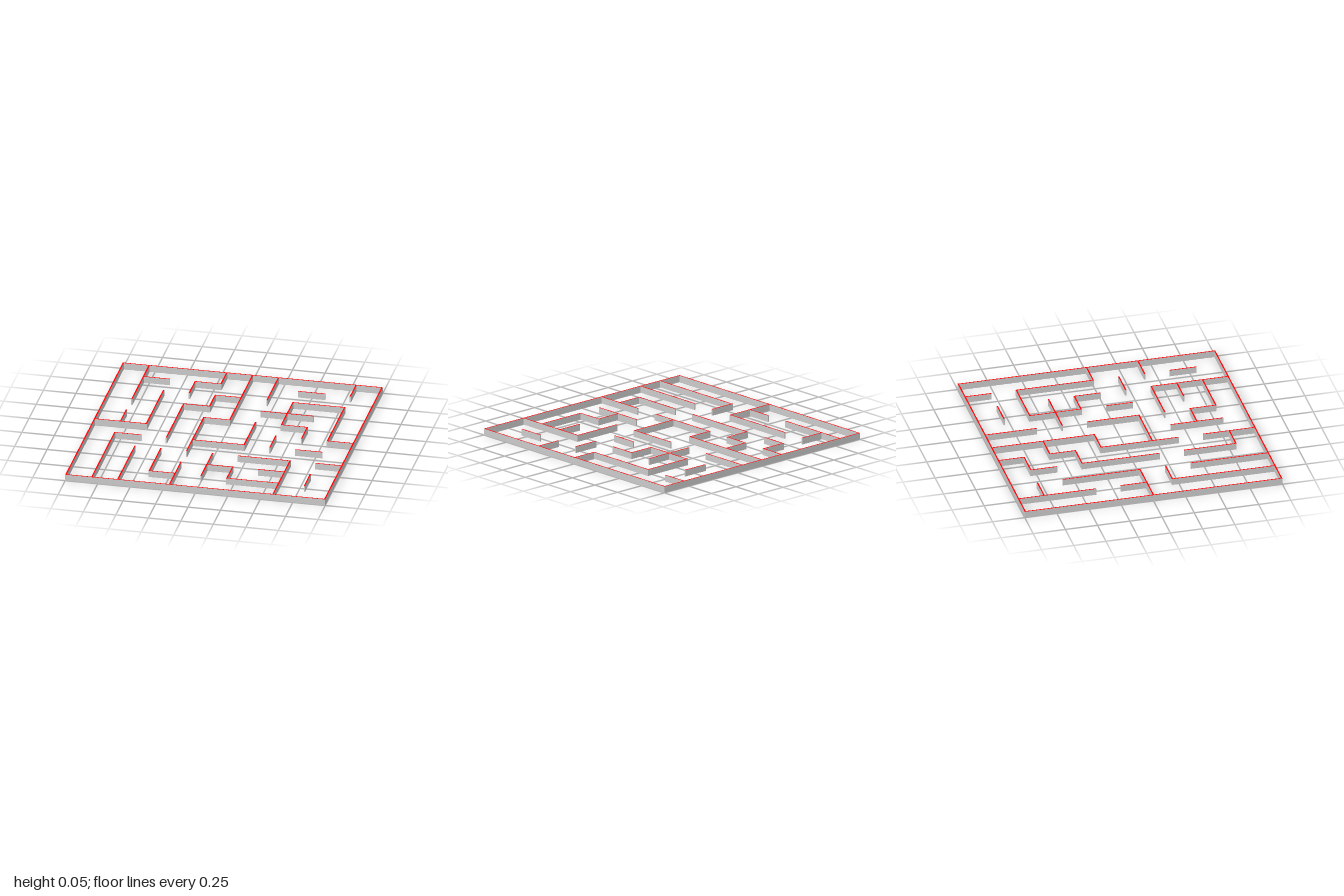
import * as THREE from 'three';

const HEIGHT = 0.05;
const THICK = 0.01;
const CELLS = 10;
const STEP = (2 - THICK) / CELLS;

// Walls running front to back: [column line, first row line, last row line]
const LENGTHWISE = [
  [1, 0, 3], [1, 4, 5], [1, 6, 10],
  [2, 2, 5], [2, 7, 10],
  [3, 1, 2], [3, 3, 6], [3, 7, 9],
  [4, 0, 1], [4, 2, 3], [4, 4, 7], [4, 8, 10],
  [5, 0, 4], [5, 7, 9],
  [6, 0, 2], [6, 4, 6], [6, 8, 9],
  [7, 2, 4], [7, 5, 6],
  [8, 4, 5], [8, 7, 10],
  [9, 0, 1], [9, 2, 5], [9, 8, 9],
];

// Walls running left to right: [row line, first column line, last column line]
const CROSSWISE = [
  [1, 1, 2], [1, 3, 4], [1, 7, 8],
  [2, 4, 5], [2, 7, 9],
  [3, 3, 4], [3, 6, 8],
  [4, 4, 5], [4, 7, 8],
  [5, 0, 2], [5, 9, 10],
  [6, 1, 2], [6, 4, 6], [6, 8, 9],
  [7, 6, 8], [7, 9, 10],
  [8, 5, 6], [8, 7, 8],
  [9, 3, 4], [9, 6, 8],
];

export function createModel() {
  const maze = new THREE.Group();
  maze.name = 'maze';

  // Grey wall sides with a red top edge
  const grey = new THREE.MeshStandardMaterial({ color: 0xcccccc });
  const red = new THREE.MeshStandardMaterial({ color: 0xff0000 });
  const materials = [grey, grey, red, grey, grey, grey];

  const gridPos = (i) => (i - CELLS / 2) * STEP;

  // One straight wall on a grid line, overlapping its neighbours at the corners
  function addWall(parent, name, line, from, to, alongX) {
    const length = (to - from) * STEP + THICK;
    const geometry = new THREE.BoxGeometry(alongX ? length : THICK, HEIGHT, alongX ? THICK : length);
    const wall = new THREE.Mesh(geometry, materials);
    const across = gridPos(line);
    const middle = gridPos((from + to) / 2);
    wall.position.set(alongX ? middle : across, HEIGHT / 2, alongX ? across : middle);
    wall.name = name;
    parent.add(wall);
  }

  // Outer boundary
  const boundary = new THREE.Group();
  boundary.name = 'boundary';
  addWall(boundary, 'rightBoundaryWall', 0, 0, CELLS, false);
  addWall(boundary, 'leftBoundaryWall', CELLS, 0, CELLS, false);
  addWall(boundary, 'backBoundaryWall', 0, 0, CELLS, true);
  addWall(boundary, 'frontBoundaryWall', CELLS, 0, CELLS, true);

  // Inner passages
  const inner = new THREE.Group();
  inner.name = 'innerWalls';
  for (const [line, from, to] of LENGTHWISE) addWall(inner, 'lengthwiseWall', line, from, to, false);
  for (const [line, from, to] of CROSSWISE) addWall(inner, 'crosswiseWall', line, from, to, true);

  maze.add(boundary, inner);
  return maze;
}
